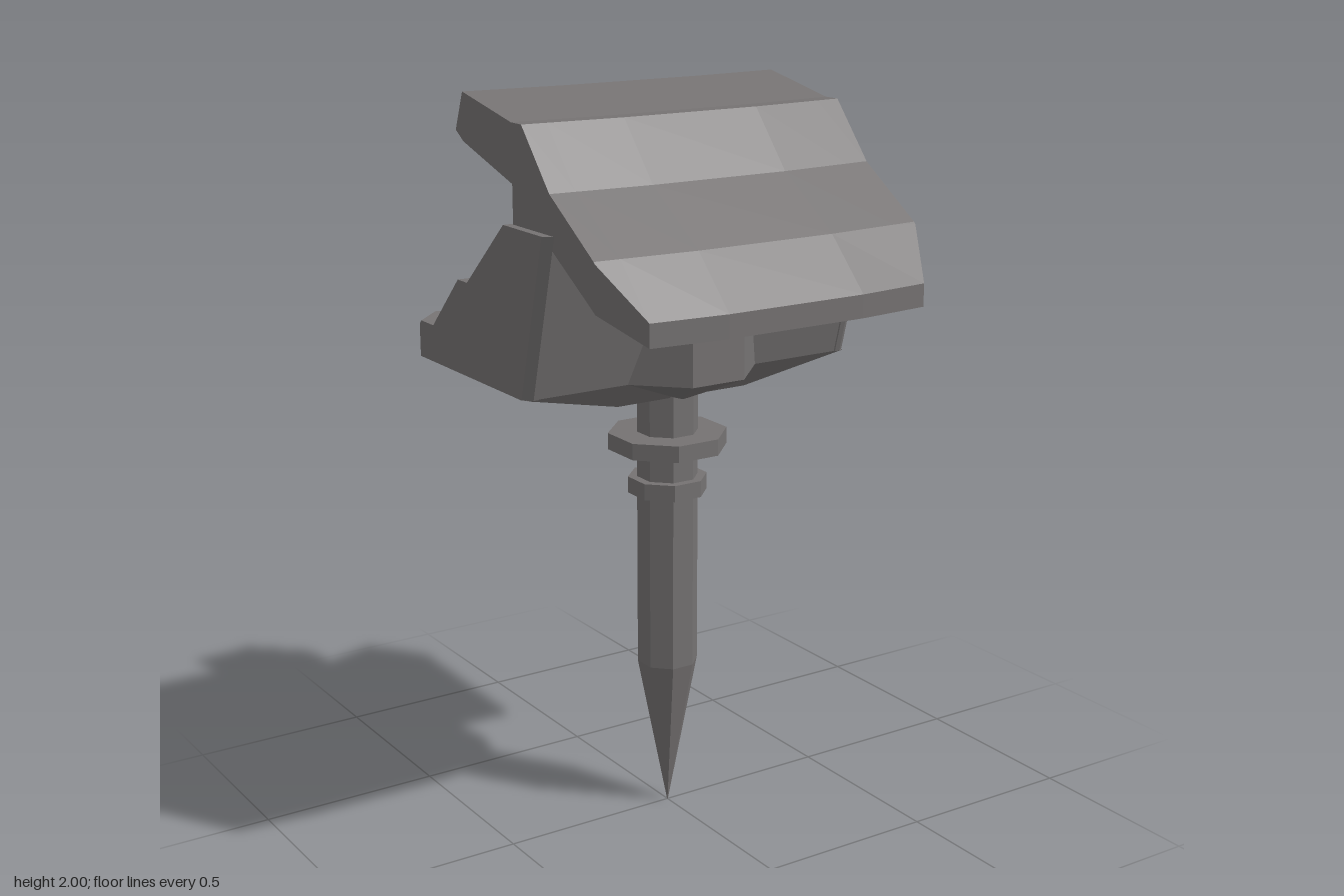
import * as THREE from 'three';
import { ConvexGeometry } from 'three/addons/geometries/ConvexGeometry.js';

const grey = new THREE.MeshStandardMaterial({ color: 0x757272, name: 'gunmetal' });
const purple = new THREE.MeshStandardMaterial({ color: 0x6a4799, name: 'purple' });
const light = new THREE.MeshStandardMaterial({ color: 0xc4c4c4, name: 'lampGrey' });

// Flat-shaded solid through cross-sections [x, [[z, y], ...]], ordered by rising x.
// Each loop runs along the top from back to front, then returns underneath.
function loft(sections) {
  const pos = [];
  const put = (s, k) => {
    const [z, y] = s[1][k % s[1].length];
    pos.push(s[0], y, z);
  };
  for (let i = 0; i + 1 < sections.length; i++) {
    const a = sections[i], b = sections[i + 1];
    for (let k = 0; k < a[1].length; k++) {
      put(a, k); put(a, k + 1); put(b, k + 1);
      put(a, k); put(b, k + 1); put(b, k);
    }
  }
  const first = sections[0], last = sections[sections.length - 1];
  const cap = (s, flip) => {
    const outline = s[1].map(([z, y]) => new THREE.Vector2(-z, y));
    for (const t of THREE.ShapeUtils.triangulateShape(outline, [])) {
      (flip ? [t[0], t[2], t[1]] : t).forEach((k) => put(s, k));
    }
  };
  cap(last, false);
  cap(first, true);
  const g = new THREE.BufferGeometry();
  g.setAttribute('position', new THREE.Float32BufferAttribute(pos, 3));
  g.computeVertexNormals();
  return g;
}

// Sections given from the middle outwards, repeated on the other side
const mirrored = (cols) => [...cols.map(([x, l]) => [-x, l]).reverse(), ...cols];
const hull = (pts) => new ConvexGeometry(pts.map((p) => new THREE.Vector3(...p)));
const bothX = (pts) => [...pts, ...pts.map(([x, y, z]) => [-x, y, z])];

export function createModel() {
  const group = new THREE.Group();
  const add = (name, geometry, material = grey) => {
    const m = new THREE.Mesh(geometry, material);
    m.name = name;
    group.add(m);
    return m;
  };

  // Octagonal ground stake with two collars
  const octagon = (name, top, bottom, y0, y1) => {
    const k = 1 / Math.cos(Math.PI / 8);
    const g = new THREE.CylinderGeometry(top * k, bottom * k, y1 - y0, 8, 1, false, Math.PI / 8).toNonIndexed();
    g.computeVertexNormals();
    add(name, g).position.y = (y0 + y1) / 2;
  };
  octagon('stakePoint', 0.077, 0.001, 0, 0.43);
  octagon('stakeShaft', 0.077, 0.077, 0.43, 1.22);
  octagon('lowerCollar', 0.1, 0.1, 0.92, 0.965);
  octagon('upperCollar', 0.15, 0.15, 1.045, 1.09);

  // Console body with a stepped, sloping panel
  const core = [[-0.42, 1.33], [-0.38, 1.34], [-0.23, 1.48], [-0.18, 1.48], [0.02, 1.67],
    [0.04, 1.7], [0.235, 1.7], [0.12, 1.27], [-0.42, 1.27]];
  add('consoleBody', loft(mirrored([[0.475, core]])));

  // Raised side cheeks with a chamfered front edge
  const cheek = (dz) => [[-0.45, 1.36], [-0.37, 1.37], [-0.22, 1.52], [-0.17, 1.52], [0.03, 1.7],
    [0.24 - dz, 1.7], [0.125 - dz, 1.27], [-0.45, 1.27]];
  add('leftCheek', loft([[0.465, cheek(0)], [0.48, cheek(0)], [0.503, cheek(0.02)]]));
  add('rightCheek', loft([[-0.503, cheek(0.02)], [-0.48, cheek(0)], [-0.465, cheek(0)]]));

  // Back lip
  add('backLip', loft(mirrored([
    [0.2, [[-0.52, 1.33], [-0.495, 1.345], [-0.4, 1.34], [-0.4, 1.27], [-0.51, 1.28]]],
    [0.41, [[-0.57, 1.35], [-0.54, 1.365], [-0.42, 1.36], [-0.42, 1.27], [-0.565, 1.29]]],
    [0.503, [[-0.45, 1.36], [-0.44, 1.37], [-0.37, 1.37], [-0.37, 1.27], [-0.45, 1.29]]],
  ])));

  // Faceted underside
  const keel = [[0.2, 1.27, 0.12], [0.2, 1.2, 0.07], [0.2, 1.2, -0.42], [0.2, 1.285, -0.51]];
  add('undersideMiddle', hull(bothX(keel)));
  for (const s of [1, -1]) {
    const side = [...keel, [0.495, 1.27, 0.12], [0.495, 1.28, -0.445], [0.41, 1.285, -0.56]];
    add('undersideWing', hull(side.map(([x, y, z]) => [s * x, y, z])));
  }

  // Wedge on the front of the body
  add('frontWedge', hull([...bothX([[0.08, 1.27, 0.24], [0.08, 1.68, 0.24],
    [0.2, 1.27, 0.12], [0.12, 1.68, 0.2]]), [0, 1.19, 0.07]]));

  // Panel rows: purple strips in three columns with ridges between
  const rows = [
    { from: [0.005, 1.656], to: [-0.17, 1.49], n: 6 },
    { from: [-0.24, 1.471], to: [-0.375, 1.345], n: 5 },
  ];
  for (const { from, to, n } of rows) {
    const dz = from[0] - to[0], dy = from[1] - to[1];
    const length = Math.hypot(dz, dy), tilt = -Math.atan2(dy, dz);
    for (let i = 0; i < n; i++) {
      const t = (i + 0.5) / n;
      for (const [x, w] of [[-0.33, 0.25], [0, 0.36], [0.33, 0.25]]) {
        const strip = add('panelStrip', new THREE.BoxGeometry(w, 0.009, (length / n) * 0.74), purple);
        strip.position.set(x, from[1] - dy * t + 0.002, from[0] - dz * t);
        strip.rotation.x = tilt;
      }
    }
    for (const x of [-0.192, 0.192]) {
      const ridge = add('panelRidge', new THREE.BoxGeometry(0.012, 0.03, length));
      ridge.position.set(x, (from[1] + to[1]) / 2, (from[0] + to[0]) / 2);
      ridge.rotation.x = tilt;
    }
  }

  // Bent hood with clipped front corners
  const hood = (d, front) => [[-0.19 - d, 2], [0.06 - d, 1.95], [0.11 - d, 1.95], [0.24 - d, 1.8],
    [0.44 - d, 1.67], ...front, [0.24 - d, 1.67], [0.04, 1.69], [0.04, 1.8], [-0.19 - d, 1.875]];
  add('hood', loft(mirrored([
    [0.2, hood(0, [[0.57, 1.54], [0.57, 1.48], [0.42, 1.55]])],
    [0.41, hood(0.015, [[0.55, 1.54], [0.55, 1.48], [0.41, 1.55]])],
    [0.48, hood(0.02, [[0.425, 1.665], [0.425, 1.545], [0.41, 1.555]])],
  ])));

  // Rear hood tips with lamps beneath
  for (const s of [1, -1]) {
    const flip = (pts) => pts.map(([x, y, z]) => [s * x, y, z]);
    add('hoodTip', hull(flip([
      [0.2, 2, -0.19], [0.48, 2, -0.21], [0.35, 1.95, -0.365], [0.15, 1.955, -0.345],
      [0.2, 1.875, -0.19], [0.48, 1.875, -0.21], [0.48, 1.9, -0.25],
      [0.35, 1.9, -0.365], [0.15, 1.9, -0.345],
    ])));
    const lamp = [[0.18, -0.348], [0.345, -0.367], [0.4, -0.29], [0.2, -0.27]];
    add('tipLamp', hull(flip([...lamp.map(([x, z]) => [x, 1.9, z]),
      ...lamp.map(([x, z]) => [x, 1.892, z])])), light);
  }

  // Lamp strip under the hood, above the panel
  add('lampStrip', new THREE.BoxGeometry(0.9, 0.06, 0.009), light).position.set(0, 1.75, 0.037);

  return group;
}
